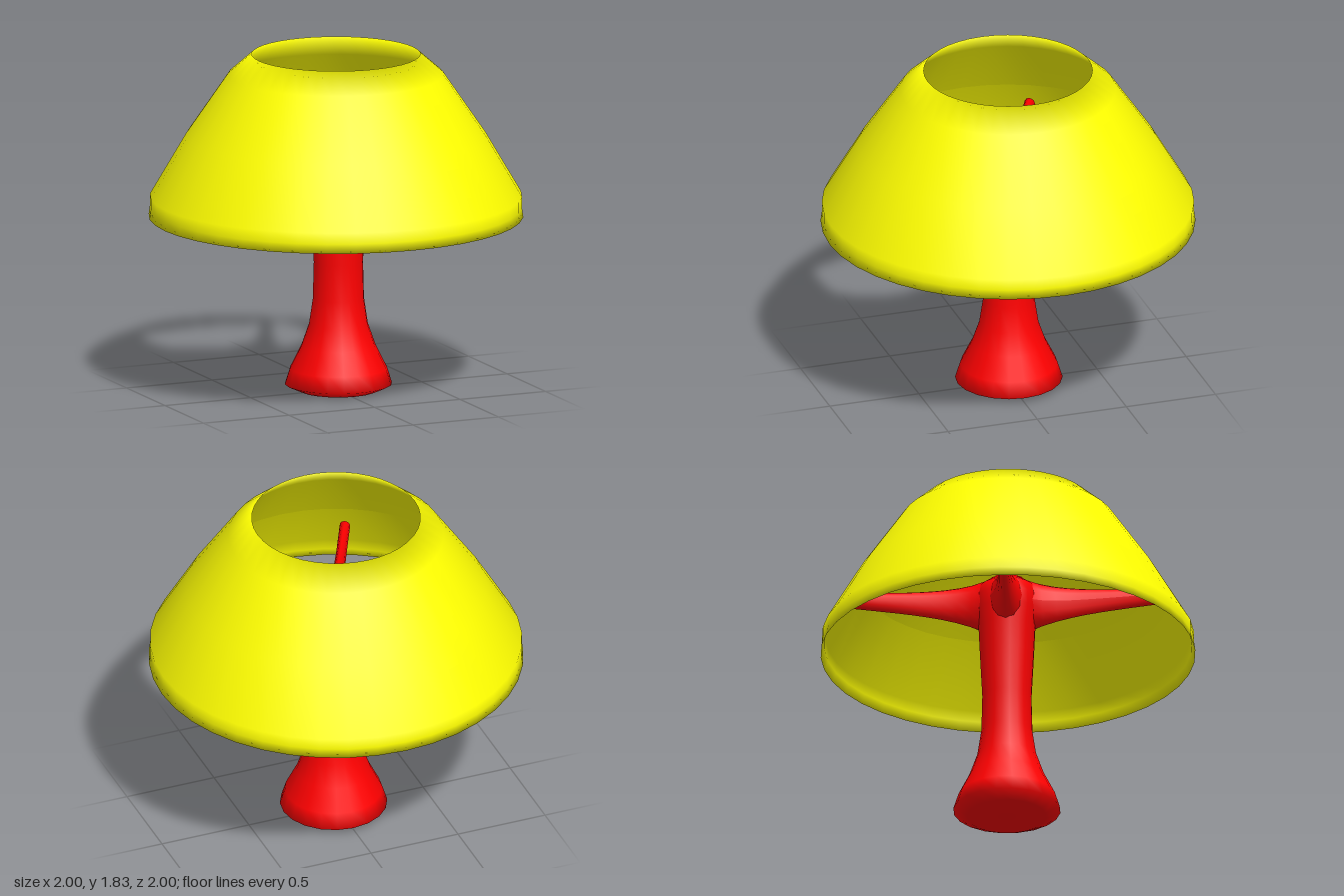
import * as THREE from 'three';

const yellow = new THREE.MeshStandardMaterial({ color: 0xffff00, side: THREE.DoubleSide });
const red = new THREE.MeshStandardMaterial({ color: 0xff0000 });

// Smooth turned surface from [radius, height] pairs
function turned(name, profile, segments, material) {
  const points = profile.map(([r, y]) => new THREE.Vector2(r, y));
  const mesh = new THREE.Mesh(new THREE.LatheGeometry(points, segments), material);
  mesh.name = name;
  return mesh;
}

// Oval arm running along +x: flared at the root, slim and slanted at the tip
function armGeometry() {
  const geometry = new THREE.CylinderGeometry(1, 1, 1, 12, 10);
  const p = geometry.attributes.position;
  for (let i = 0; i < p.count; i++) {
    const t = p.getY(i) + 0.5;
    const up = -p.getX(i);
    const side = p.getZ(i);
    const halfHeight = 0.045 + 0.05 * (1 - t) + 0.09 * (1 - t) ** 4;
    const halfWidth = 0.028 + 0.13 * (1 - t) ** 6;
    p.setXYZ(
      i,
      0.04 + 0.745 * t - 0.03 * up * t,
      1.28 - 0.05 * (1 - t) + up * halfHeight,
      side * halfWidth
    );
  }
  geometry.computeVertexNormals();
  return geometry;
}

export function createModel() {
  const model = new THREE.Group();
  model.name = 'tableLamp';

  // Thin shell: down the inside, round the bottom lip, up the outside, over the top lip
  model.add(turned('shade', [
    [0.785, 1.38], [0.977, 1.06], [0.98, 1.0], [1.0, 0.95],
    [0.993, 1.0], [0.993, 1.06], [0.8, 1.39], [0.575, 1.72], [0.45, 1.83],
    [0.56, 1.71], [0.785, 1.38],
  ], 40, yellow));

  // Stand: flared foot, slim neck, domed head
  const stand = new THREE.Group();
  stand.name = 'stand';
  stand.position.x = 0.014;
  stand.add(turned('column', [
    [0, 0], [0.21, 0], [0.287, 0.035], [0.26, 0.12], [0.2, 0.24], [0.158, 0.36],
    [0.137, 0.5], [0.132, 0.7], [0.145, 0.95], [0.152, 1.1], [0.165, 1.2],
    [0.165, 1.28], [0.15, 1.34], [0.1, 1.375], [0, 1.39],
  ], 20, red));

  // Four arms that carry the shade
  const geometry = armGeometry();
  for (let i = 0; i < 4; i++) {
    const arm = new THREE.Mesh(geometry, red);
    arm.name = `arm${i + 1}`;
    arm.rotation.y = -0.46 + i * Math.PI / 2;
    stand.add(arm);
  }
  model.add(stand);
  return model;
}
